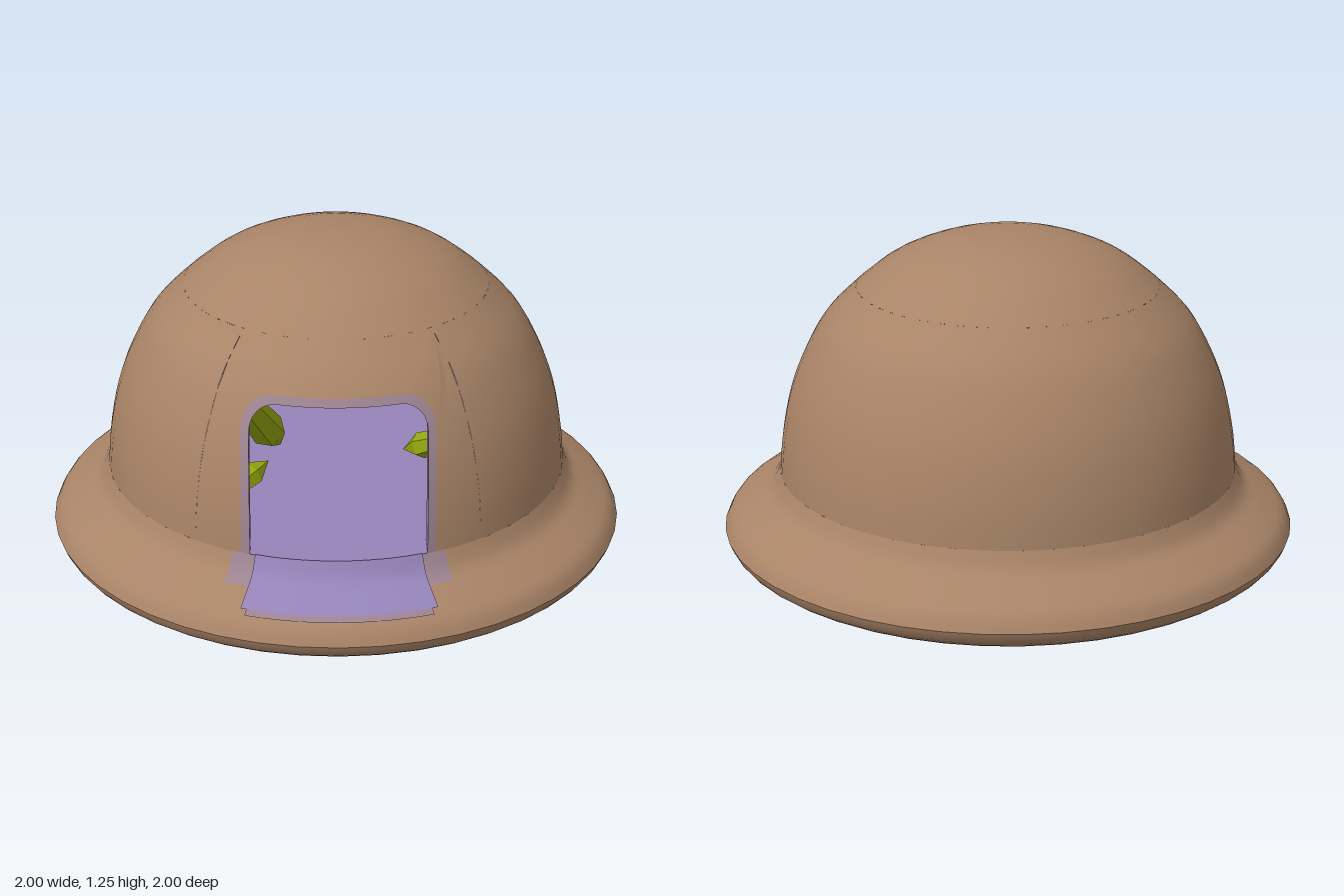
import * as THREE from 'three';

const mat = (name, color, side = THREE.FrontSide) => {
  const m = new THREE.MeshStandardMaterial({ color, side });
  m.name = name;
  return m;
};
const V2 = (a) => a.map(([x, y]) => new THREE.Vector2(x, y));
const smooth = (a, n) => new THREE.SplineCurve(V2(a)).getPoints(n);

// Profiles as [radius, height], bottom to top
const BASE = 0.42, TOP = 1.07, SECTOR = 0.62, WALL = 0.08;
const wallPts = smooth([[0.8, BASE], [0.787, 0.55], [0.755, 0.7], [0.705, 0.83], [0.63, 0.96], [0.52, TOP]], 20);
const capPts = smooth([[0.52, TOP], [0.39, 1.165], [0.2, 1.235], [0, 1.255]], 12);
const brimUnder = smooth([[0.62, 0.053], [0.78, 0.09], [0.9, 0.135], [0.975, 0.18], [1, 0.225]], 12);
const brimTop = smooth([[1, 0.225], [0.97, 0.275], [0.9, 0.32], [0.835, 0.36], [0.8, BASE]], 16);

// Wall radius at a given height
function radius(y) {
  for (let i = 1; i < wallPts.length; i++) {
    const a = wallPts[i - 1], b = wallPts[i];
    if (y <= b.y) return a.x + (b.x - a.x) * (y - a.y) / (b.y - a.y);
  }
  return wallPts[wallPts.length - 1].x;
}

// Upside-down U outline with rounded corners
function arch(w, top, r) {
  const pts = [];
  const line = (x0, y0, x1, y1) => {
    for (let i = 0; i < 8; i++) pts.push([x0 + (x1 - x0) * i / 8, y0 + (y1 - y0) * i / 8]);
  };
  const corner = (cx, cy, a0) => {
    for (let i = 0; i < 6; i++) {
      const a = a0 - (i / 6) * Math.PI / 2;
      pts.push([cx + r * Math.cos(a), cy + r * Math.sin(a)]);
    }
  };
  line(-w, BASE, -w, top - r);
  corner(-w + r, top - r, Math.PI);
  line(-w + r, top, w - r, top);
  corner(w - r, top - r, Math.PI / 2);
  line(w, top - r, w, BASE);
  pts.push([w, BASE]);
  return pts;
}
const toAngle = (pts, inset) => pts.map(([x, y]) => [Math.asin(x / (radius(y) - inset)), y]);
const onWall = ([a, y], inset) => {
  const r = radius(y) - inset;
  return [r * Math.sin(a), y, r * Math.cos(a)];
};

// Surface through rows of points
function strip(rows, flip = false) {
  const n = rows[0].length, index = [];
  for (let s = 0; s < rows.length - 1; s++) {
    for (let t = 0; t < n - 1; t++) {
      const a = s * n + t, b = a + 1, c = a + n, d = c + 1;
      if (flip) index.push(a, c, b, b, c, d);
      else index.push(a, b, c, b, d, c);
    }
  }
  const g = new THREE.BufferGeometry();
  g.setAttribute('position', new THREE.Float32BufferAttribute(rows.flat(2), 3));
  g.setIndex(index);
  g.computeVertexNormals();
  return g;
}
function wallPanel(from, to, inset, steps, flip) {
  const rows = [];
  for (let s = 0; s <= steps; s++) {
    const k = s / steps;
    rows.push(from.map((p, i) => onWall([p[0] + (to[i][0] - p[0]) * k, p[1] + (to[i][1] - p[1]) * k], inset)));
  }
  return strip(rows, flip);
}

export function createModel() {
  const clay = mat('brown clay', 0xa98467);
  const violet = mat('violet', 0x9583b8);
  const violetThin = mat('violet open surface', 0x9583b8, THREE.DoubleSide);
  const blend = mat('faded violet brown', 0x9c8390);
  const lime = mat('lime crystal', 0x93a60f);
  lime.flatShading = true;

  const group = new THREE.Group();
  const add = (name, geometry, material) => {
    const m = new THREE.Mesh(geometry, material);
    m.name = name;
    group.add(m);
    return m;
  };
  const lathe = (pts, start = 0, length = Math.PI * 2, seg = 48) => new THREE.LatheGeometry(pts, seg, start, length);
  const sector = [SECTOR, Math.PI * 2 - SECTOR * 2];

  // Brim and stained underside
  add('brimTop', lathe(brimTop), clay);
  add('brimUnderside', lathe(brimUnder), clay);
  add('undersideFade', lathe(V2([[0.52, 0.037], [0.62, 0.053]])), blend);
  add('undersideStain', lathe(V2([[0, 0], [0.25, 0.01], [0.52, 0.037]])), violet);

  // Dome shell around the doorway
  const door = arch(0.285, 0.9, 0.09);
  const halo = arch(0.312, 0.925, 0.11);
  const frame = arch(SECTOR, TOP, 0);
  add('domeCap', lathe(capPts), clay);
  add('domeWall', lathe(wallPts, ...sector), clay);
  add('domeFront', wallPanel(toAngle(halo, 0), frame, 0, 6), clay);
  add('doorEdge', wallPanel(toAngle(door, 0), toAngle(halo, 0), 0, 1), blend);

  // Doorway thickness
  const jamb = [0, WALL].map((d) => toAngle(door, d).map((p) => onWall(p, d)));
  add('doorJamb', strip(jamb), violetThin);

  // Inner lining and floor, facing inward
  const liningWall = wallPts.map((p) => new THREE.Vector2(p.x - WALL, p.y)).reverse();
  add('liningWall', lathe(liningWall, ...sector), violet);
  add('liningCeiling', lathe(smooth([[0, 1.19], [0.16, 1.18], [0.32, 1.14], [0.52 - WALL, TOP]], 10)), violet);
  add('liningFront', wallPanel(toAngle(door, WALL), frame, WALL, 6, true), violet);
  add('floor', lathe(V2([[0.8, BASE], [0, BASE]])), violet);
  add('floorEdge', lathe(V2([[0.72, 0.45], [0.69, 0.43], [0.65, 0.422]]), ...sector), violet);

  // Stain spilling from the doorway over the brim
  const spill = (lift, low) => brimTop.filter((p) => p.y > low).map((p) => new THREE.Vector2(p.x + lift * 0.6, p.y + lift));
  add('doorstepFadeWide', lathe(spill(0.002, 0.335), -0.44, 0.88, 12), blend);
  add('doorstepFadeLong', lathe(spill(0.004, 0.275), -0.32, 0.64, 12), blend);
  add('doorstepStain', lathe(spill(0.006, 0.295), -0.34, 0.68, 12), violet);

  // Crystals: base, tip, thickness
  const crystals = [
    [[-0.3, 0.86, 0.54], [-0.19, 0.6, 0.32], 0.06],
    [[-0.38, 0.5, 0.5], [-0.23, 0.57, 0.38], 0.045],
    [[-0.09, 1.1, 0.25], [-0.06, 0.72, 0.25], 0.065],
    [[0.22, 1.04, 0.27], [0.1, 0.71, 0.24], 0.07],
    [[0.0, 1.08, 0.3], [0.0, 0.85, 0.3], 0.035],
    [[0.1, 1.06, 0.32], [0.07, 0.75, 0.28], 0.035],
    [[0.38, 0.7, 0.48], [0.22, 0.6, 0.36], 0.045],
  ];
  const up = new THREE.Vector3(0, 1, 0);
  for (const [base, tip, r] of crystals) {
    const b = new THREE.Vector3(...base);
    const dir = new THREE.Vector3(...tip).sub(b);
    const len = dir.length();
    const m = add('crystal', lathe(V2([[0, 0], [r * 0.75, 0], [r, len * 0.65], [0, len]]), 0, Math.PI * 2, 6), lime);
    m.position.copy(b);
    m.quaternion.setFromUnitVectors(up, dir.normalize());
  }
  return group;
}
